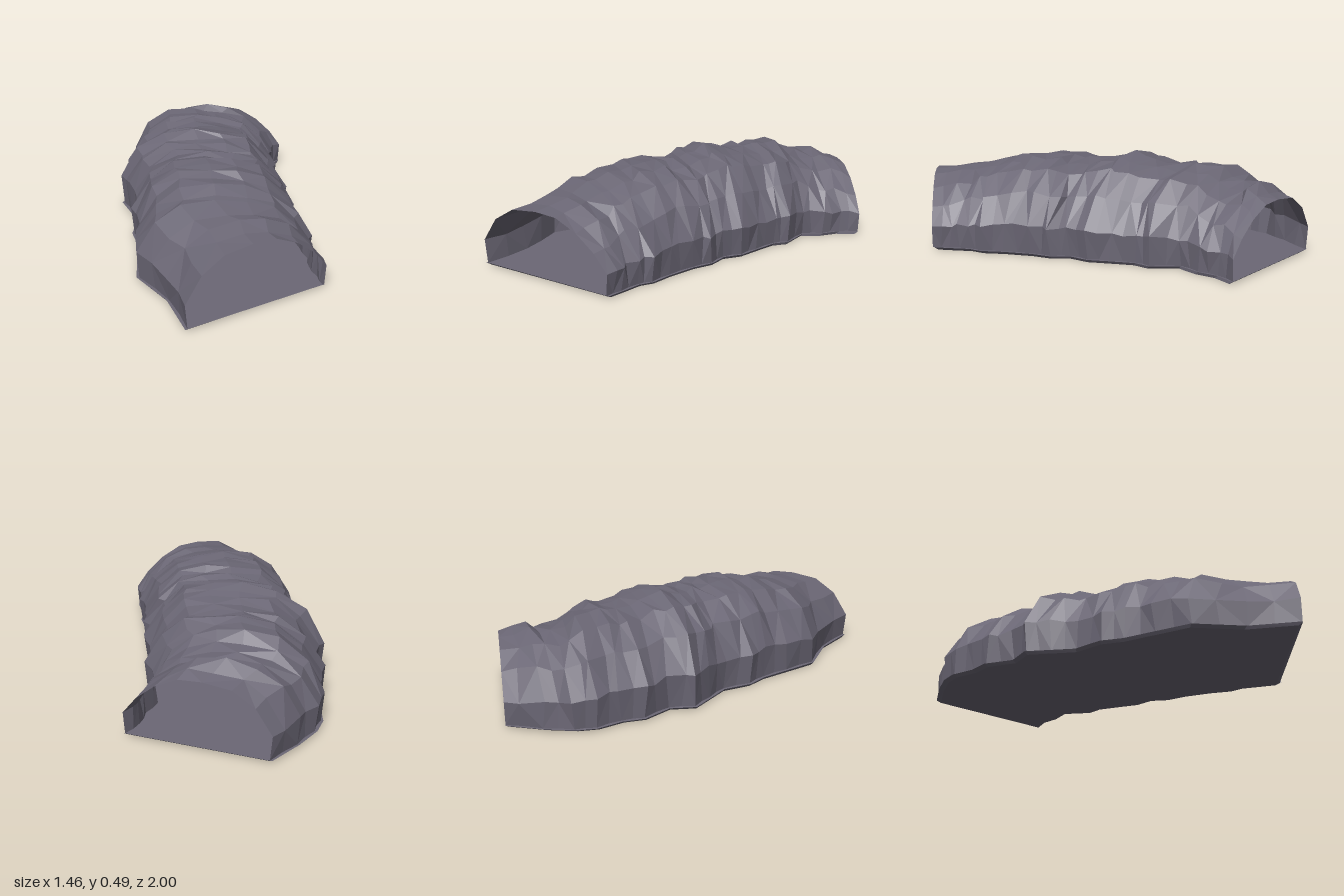
import * as THREE from 'three';

// Ground outline from the front mouth to the back mouth, one row per rib:
// [xMinus, zMinus, xPlus, zPlus, roofHeight]
const RIBS = [
  [0.24, 1.0, 0.73, 0.41, 0.35],
  [0.07, 0.81, 0.68, 0.34, 0.37],
  [-0.15, 0.67, 0.62, 0.26, 0.4],
  [-0.23, 0.5, 0.6, 0.19, 0.43],
  [-0.3, 0.35, 0.53, 0.1, 0.455],
  [-0.37, 0.26, 0.45, -0.03, 0.455],
  [-0.41, 0.11, 0.41, -0.13, 0.44],
  [-0.5, 0.02, 0.34, -0.2, 0.455],
  [-0.59, -0.07, 0.32, -0.3, 0.48],
  [-0.58, -0.2, 0.26, -0.39, 0.455],
  [-0.67, -0.33, 0.19, -0.5, 0.435],
  [-0.68, -0.44, 0.18, -0.58, 0.445],
  [-0.73, -0.56, 0.07, -0.69, 0.43],
  [-0.73, -0.66, 0.08, -0.8, 0.37],
  [-0.69, -0.8, 0.06, -0.9, 0.385],
  [-0.62, -0.97, 0.08, -1.0, 0.335],
];

// Arch cross-section: [position across from -1 to 1, fraction of roof height]
const ARCH = [
  [-0.97, 0], [-1, 0.37], [-0.78, 0.74], [-0.48, 0.95], [-0.1, 1],
  [0.22, 0.98], [0.53, 0.91], [0.79, 0.68], [0.98, 0.33], [0.96, 0],
];

const FLOOR_HEIGHT = 0.015;

function seeded(seed) {
  return () => {
    seed = (seed * 16807) % 2147483647;
    return (seed / 2147483647) * 2 - 1;
  };
}

// Ribs with a shallow groove halfway between each pair
function groovedRibs() {
  const rows = [];
  RIBS.forEach((rib, i) => {
    rows.push({ rib, squeeze: 1 });
    const next = RIBS[i + 1];
    if (next) rows.push({ rib: rib.map((v, k) => (v + next[k]) / 2), squeeze: 0.983 });
  });
  return rows;
}

// Open rocky vault lofted through the ribs and grooves
function vaultGeometry() {
  const rand = seeded(4211);
  const points = [];
  const index = [];
  const n = ARCH.length;
  const rows = groovedRibs();
  rows.forEach(({ rib: [x0, z0, x1, z1, height], squeeze }, i) => {
    const progress = i / (rows.length - 1);
    const isMouth = progress === 0 || progress === 1;
    // The +x shoulder is rounder towards both mouths
    const endness = Math.max(0, Math.abs(progress - 0.5) * 4 - 1);
    ARCH.forEach(([across, up], j) => {
      const isFoot = j === 0 || j === n - 1;
      const rough = isFoot || isMouth ? 0 : 1;
      const shoulder = j === 6 || j === 7 ? 0.09 * endness : 0;
      const t = (across * squeeze + 1) / 2 + rand() * 0.015 * rough;
      const along = rand() * 0.018 * rough;
      const lift = rand() * 0.01 * rough;
      const clamped = THREE.MathUtils.clamp(t, 0, 1);
      points.push(
        THREE.MathUtils.lerp(x0, x1, clamped) + along * 0.4,
        FLOOR_HEIGHT + (height - FLOOR_HEIGHT) * (up - shoulder) * squeeze + lift,
        THREE.MathUtils.lerp(z0, z1, clamped) + along,
      );
    });
  });
  for (let i = 0; i < rows.length - 1; i++) {
    for (let j = 0; j < n - 1; j++) {
      const a = i * n + j, b = a + 1, c = a + n, d = c + 1;
      // Vary the diagonal so the facets look broken
      if ((i + j) % 2) index.push(a, b, c, b, d, c);
      else index.push(a, b, d, a, d, c);
    }
  }
  const geometry = new THREE.BufferGeometry();
  geometry.setAttribute('position', new THREE.Float32BufferAttribute(points, 3));
  geometry.setIndex(index);
  const flat = geometry.toNonIndexed();
  flat.computeVertexNormals();
  return flat;
}

// Thin slab that follows the ground outline, its underside drawn in a little
function floorGeometry() {
  const minusSide = RIBS.map((r) => new THREE.Vector2(r[0], -r[1]));
  const plusSide = RIBS.map((r) => new THREE.Vector2(r[2] - 0.01, -r[3])).reverse();
  const shape = new THREE.Shape([...minusSide, ...plusSide]);
  const geometry = new THREE.ExtrudeGeometry(shape, { depth: FLOOR_HEIGHT, bevelEnabled: false });
  geometry.rotateX(-Math.PI / 2);
  const position = geometry.attributes.position;
  for (let i = 0; i < position.count; i++) {
    if (position.getY(i) < FLOOR_HEIGHT / 2) {
      position.setX(i, position.getX(i) * 0.97);
      position.setZ(i, position.getZ(i) * 0.98);
    }
  }
  geometry.computeVertexNormals();
  return geometry;
}

export function createModel() {
  const rock = new THREE.MeshStandardMaterial({ color: 0x6b6775, flatShading: true, side: THREE.DoubleSide });
  rock.name = 'rock grey';

  const model = new THREE.Group();
  model.name = 'rockTunnel';

  const vault = new THREE.Mesh(vaultGeometry(), rock);
  vault.name = 'tunnelVault';
  const floor = new THREE.Mesh(floorGeometry(), rock);
  floor.name = 'tunnelFloor';

  model.add(vault, floor);
  return model;
}
